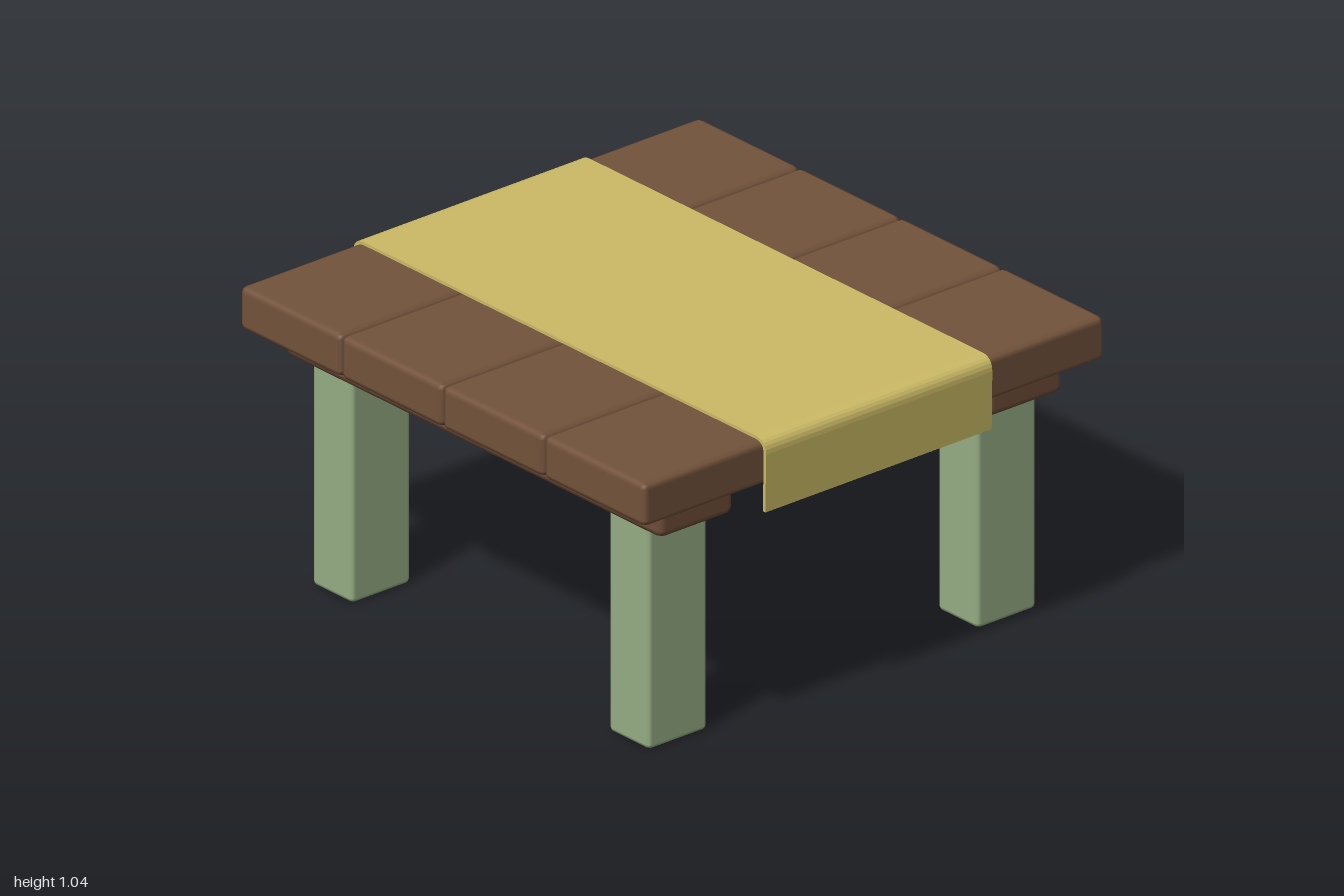
import * as THREE from 'three';
import { RoundedBoxGeometry } from 'three/addons/geometries/RoundedBoxGeometry.js';

function material(name, color) {
  const m = new THREE.MeshStandardMaterial({ color });
  m.name = name;
  return m;
}

export function createModel() {
  const table = new THREE.Group();
  table.name = 'table';
  const wood = material('brown wood', 0x73533b);
  const railWood = material('reddish brown wood', 0x6f4d38);
  const paint = material('sage green paint', 0x96ad84);
  const cloth = material('straw yellow cloth', 0xcdbb66);

  // Box with softened edges, given by its extents on each axis
  function block(name, mat, [x0, x1], [y0, y1], [z0, z1], bevel) {
    const geo = new RoundedBoxGeometry(x1 - x0, y1 - y0, z1 - z0, 1, bevel);
    const mesh = new THREE.Mesh(geo, mat);
    mesh.name = name;
    mesh.position.set((x0 + x1) / 2, (y0 + y1) / 2, (z0 + z1) / 2);
    table.add(mesh);
  }

  // Four planks side by side
  const plankWidth = 0.491;
  for (let i = 0; i < 4; i++) {
    const x = -0.984 + i * plankWidth;
    block('plank', wood, [x, x + plankWidth], [0.878, 1.03], [-0.965, 0.965], 0.022);
  }

  // Rails under the planks, the back one slightly longer
  block('frontRail', railWood, [-0.905, 0.922], [0.78, 0.88], [0.537, 0.848], 0.026);
  block('backRail', railWood, [-0.93, 0.922], [0.78, 0.88], [-0.842, -0.531], 0.026);

  // Legs
  for (const x of [[-0.806, -0.61], [0.632, 0.828]]) {
    for (const z of [[0.568, 0.814], [-0.81, -0.564]]) {
      block('leg', paint, x, [0, 0.8], z, 0.016);
    }
  }

  // Cloth runner draped over both ends: an arch-shaped cross-section
  function drape(path, half, top, r) {
    path.moveTo(-half + 0.003, 0.79);
    path.lineTo(-half, top - r);
    path.quadraticCurveTo(-half, top, -half + r, top);
    path.lineTo(half - r, top);
    path.quadraticCurveTo(half, top, half, top - r);
    path.lineTo(half - 0.003, 0.79);
    return path.getPoints(6);
  }
  const outer = drape(new THREE.Path(), 1, 1.043, 0.05);
  const inner = drape(new THREE.Path(), 0.988, 1.032, 0.04);
  const section = new THREE.Shape([...outer, ...inner.reverse()]);
  const runnerGeo = new THREE.ExtrudeGeometry(section, { depth: 0.948, bevelEnabled: false });
  runnerGeo.translate(0, 0, -0.476);
  const runner = new THREE.Mesh(runnerGeo, cloth);
  runner.name = 'tableRunner';
  table.add(runner);

  return table;
}
